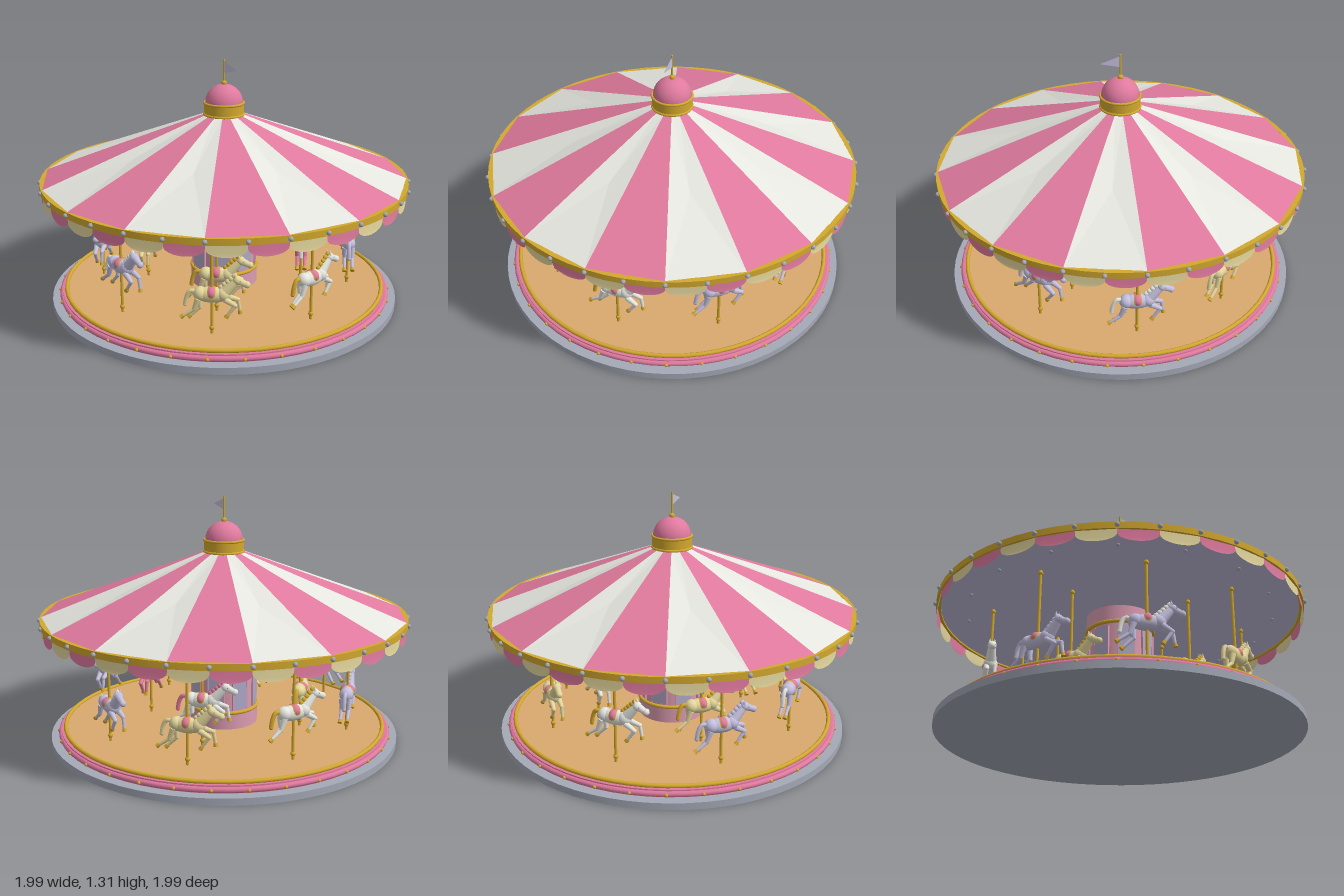
import * as THREE from 'three';
import { toCreasedNormals } from 'three/addons/utils/BufferGeometryUtils.js';

const V = (x, y, z = 0) => new THREE.Vector3(x, y, z);
const TAU = Math.PI * 2;

function material(name, color, side = THREE.FrontSide) {
  const m = new THREE.MeshStandardMaterial({ color, side });
  m.name = name;
  return m;
}

export function createModel() {
  const D = THREE.DoubleSide;
  const pink = material('pink', 0xe07a9e, D);
  const softPink = material('soft pink', 0xdc9cb2);
  const white = material('white', 0xe6e6e0, D);
  const gold = material('gold', 0xd2a82e);
  const lavender = material('lavender', 0xc4c0de, D);
  const panelColor = material('panel lavender', 0xaeaac8);
  const cream = material('cream', 0xe4d69c, D);
  const tan = material('tan wood', 0xdaa86e);
  const grey = material('grey', 0xa4a9b6);

  const root = new THREE.Group();
  root.name = 'carousel';
  const add = (parent, name, geo, mat, x = 0, y = 0, z = 0) => {
    const m = new THREE.Mesh(geo, mat);
    m.name = name;
    m.position.set(x, y, z);
    parent.add(m);
    return m;
  };
  const disc = (name, r, y0, y1, mat, parent = root) =>
    add(parent, name, new THREE.CylinderGeometry(r, r, y1 - y0, 64), mat, 0, (y0 + y1) / 2, 0);
  const ring = (name, r, tube, y, mat) => {
    const m = add(root, name, new THREE.TorusGeometry(r, tube, 10, 64), mat, 0, y, 0);
    m.rotation.x = Math.PI / 2;
  };
  // closed rectangular section turned around the axis
  const hoop = (name, ri, ro, y0, y1, mat) => {
    const pts = [[ri, y0], [ro, y0], [ro, y1], [ri, y1], [ri, y0]].map(p => new THREE.Vector2(...p));
    add(root, name, toCreasedNormals(new THREE.LatheGeometry(pts, 64), 0.6), mat);
  };
  // rounded bar between two points
  const limb = (parent, name, a, b, r, mat, r2 = r) => {
    const d = b.clone().sub(a), len = d.length();
    const m = add(parent, name, new THREE.CylinderGeometry(r2, r, len, 10), mat);
    m.position.copy(a).addScaledVector(d, 0.5);
    m.quaternion.setFromUnitVectors(V(0, 1, 0), d.normalize());
    return m;
  };
  const ball = (parent, name, p, r, mat, sx = 1, sy = 1, sz = 1) => {
    const m = add(parent, name, new THREE.SphereGeometry(r, 16, 10), mat, p.x, p.y, p.z);
    m.scale.set(sx, sy, sz);
    return m;
  };

  // platform
  disc('baseDisc', 0.945, 0, 0.036, grey);
  disc('platformSide', 0.89, 0.036, 0.075, pink);
  ring('platformTrim', 0.89, 0.015, 0.054, pink);
  disc('floor', 0.865, 0.07, 0.08, tan);
  ring('floorRim', 0.867, 0.011, 0.083, gold);

  // central column with upright panels
  disc('columnFoot', 0.182, 0.08, 0.165, softPink);
  disc('columnBody', 0.17, 0.165, 0.67, softPink);
  disc('columnHead', 0.18, 0.585, 0.67, softPink);
  for (const y of [0.17, 0.575]) ring('columnRing', 0.178, 0.01, y, gold);
  for (let i = 0; i < 8; i++) {
    const g = new THREE.Group();
    g.name = 'columnPanel';
    g.rotation.y = i * TAU / 8;
    root.add(g);
    add(g, 'panel', new THREE.BoxGeometry(0.08, 0.365, 0.008), panelColor, 0, 0.37, 0.17);
    for (const s of [-1, 1]) add(g, 'panelFrame', new THREE.BoxGeometry(0.006, 0.375, 0.01), softPink, s * 0.043, 0.37, 0.17);
  }

  // striped canopy: plain pink wedges, slightly sagging white ones
  const roofPoint = (a, r, dy = 0) => V(Math.sin(a) * r, 1.02 - (r - 0.1) * (0.335 / 0.88) + dy, Math.cos(a) * r);
  for (let i = 0; i < 16; i++) {
    const a = i * TAU / 16, b = a + TAU / 16, c = (a + b) / 2;
    const isPink = i % 2 === 0;
    const loop = [roofPoint(a, 0.1), roofPoint(a, 0.98), roofPoint(b, 0.98), roofPoint(b, 0.1)];
    const mid = isPink ? loop.reduce((s, p) => s.addScaledVector(p, 0.25), V(0, 0)) : roofPoint(c, 0.53, -0.016);
    const tris = loop.flatMap((p, k) => [mid, p, loop[(k + 1) % 4]]);
    const geo = new THREE.BufferGeometry().setFromPoints(tris);
    geo.computeVertexNormals();
    add(root, isPink ? 'pinkRoofWedge' : 'whiteRoofWedge', geo, isPink ? pink : white);
  }
  disc('ceiling', 0.965, 0.664, 0.67, lavender);
  hoop('canopyRim', 0.955, 0.98, 0.655, 0.688, gold);

  // scalloped valance, bent round the rim
  for (let i = 0; i < 32; i++) {
    const a0 = i * TAU / 32, w = TAU / 32;
    const shape = new THREE.Shape([new THREE.Vector2(w, 0.675), new THREE.Vector2(0, 0.675)]);
    for (let k = 0; k <= 12; k++) {
      const t = Math.PI * k / 12;
      shape.lineTo(w / 2 - Math.cos(t) * w / 2, 0.635 - Math.sin(t) * 0.04);
    }
    const geo = new THREE.ShapeGeometry(shape);
    const p = geo.attributes.position;
    for (let k = 0; k < p.count; k++) {
      const a = a0 + p.getX(k);
      p.setXYZ(k, Math.sin(a) * 0.972, p.getY(k), Math.cos(a) * 0.972);
    }
    geo.computeVertexNormals();
    add(root, 'scallop', geo, i % 2 ? pink : cream);
    // lamps on the rim, ceiling and platform
    const s = Math.sin(a0), c = Math.cos(a0);
    ball(root, 'rimBulb', V(s * 0.983, 0.672, c * 0.983), 0.012, grey);
    ball(root, 'platformBulb', V(s * 0.903, 0.054, c * 0.903), 0.009, gold);
    if (i % 2) ball(root, 'ceilingBulb', V(s * 0.82, 0.662, c * 0.82), 0.01, grey);
  }

  // crown, dome and pennant
  disc('crownBand', 0.105, 1.01, 1.085, gold);
  for (const y of [1.02, 1.08]) ring('crownTrim', 0.104, 0.007, y, gold);
  const dome = new THREE.SphereGeometry(0.1, 32, 12, 0, TAU, 0, Math.PI / 2);
  add(root, 'dome', dome, pink, 0, 1.08, 0);
  ball(root, 'finial', V(0, 1.185), 0.015, gold);
  limb(root, 'flagpole', V(0, 1.17), V(0, 1.31), 0.005, gold);
  const flag = new THREE.Shape([[0.003, 1.3], [0.003, 1.24], [0.105, 1.262]].map(p => new THREE.Vector2(...p)));
  add(root, 'flag', new THREE.ShapeGeometry(flag), lavender);

  // galloping horse facing +x, origin at the middle of the body
  function horse(coat, hair) {
    const g = new THREE.Group();
    g.name = 'horse';
    ball(g, 'body', V(0, 0), 0.04, coat, 2.15, 1, 0.9);
    ball(g, 'chest', V(0.055, 0.005), 0.036, coat);
    ball(g, 'rump', V(-0.055, 0.003), 0.036, coat);
    limb(g, 'neck', V(0.06, 0.012), V(0.122, 0.08), 0.03, coat, 0.018);
    ball(g, 'poll', V(0.122, 0.08), 0.023, coat);
    limb(g, 'face', V(0.122, 0.08), V(0.168, 0.058), 0.02, coat, 0.014);
    ball(g, 'muzzle', V(0.17, 0.058), 0.017, coat);
    // mane along the back of the neck, tail streaming behind
    for (let i = 0; i < 5; i++) ball(g, 'mane', V(0.045 + i * 0.016, 0.04 + i * 0.015), 0.014, hair, 1, 1, 0.7);
    const tail = new THREE.CatmullRomCurve3([V(-0.08, 0.015), V(-0.105, 0.015), V(-0.122, -0.015), V(-0.13, -0.055)]);
    add(g, 'tail', new THREE.TubeGeometry(tail, 10, 0.011, 8), hair);
    ball(g, 'tailTip', V(-0.13, -0.055), 0.011, hair);
    for (const s of [-1, 1]) {
      const ear = add(g, 'ear', new THREE.ConeGeometry(0.008, 0.03, 8), coat, 0.115, 0.108, s * 0.012);
      ear.rotation.z = 0.15;
      ball(g, 'eye', V(0.138, 0.08, s * 0.015), 0.004, grey);
    }
    // saddle and its cloth
    ball(g, 'saddleCloth', V(0, 0.008), 0.04, gold, 0.95, 0.88, 0.97);
    ball(g, 'saddle', V(0, 0.012), 0.04, pink, 0.75, 0.8, 1.01);
    // thigh, shank and hoof of each leg
    const legs = [
      [V(0.065, -0.015), V(0.115, -0.045), V(0.08, -0.095), 1],
      [V(0.065, -0.015), V(0.125, -0.03), V(0.135, -0.085), -1],
      [V(-0.065, -0.015), V(-0.085, -0.07), V(-0.135, -0.105), 1],
      [V(-0.065, -0.015), V(-0.06, -0.075), V(-0.105, -0.12), -1]];
    for (const [hip, knee, foot, s] of legs) {
      for (const p of [hip, knee, foot]) p.z = s * 0.02;
      limb(g, 'thigh', hip, knee, 0.016, coat, 0.011);
      ball(g, 'knee', knee, 0.011, coat);
      limb(g, 'shank', knee, foot, 0.01, coat, 0.008);
      const tip = foot.clone().add(foot.clone().sub(knee).setLength(0.018));
      limb(g, 'hoof', foot, tip, 0.009, gold, 0.012);
    }
    return g;
  }

  // eight outer and four inner mounts: angle in eighths, radius, body height, coat, hair
  const mounts = [
    [0, 0.68, 0.335, lavender, white], [1, 0.68, 0.285, cream, cream],
    [2, 0.68, 0.305, white, gold], [3, 0.68, 0.325, lavender, lavender],
    [4, 0.68, 0.275, lavender, white], [5, 0.68, 0.285, cream, cream],
    [6, 0.68, 0.325, white, gold], [7, 0.68, 0.29, lavender, lavender],
    [1, 0.425, 0.28, cream, gold], [3, 0.425, 0.325, pink, white],
    [5, 0.425, 0.325, white, pink], [7, 0.425, 0.285, cream, gold]];
  for (const [k, r, y, coat, hair] of mounts) {
    const mount = new THREE.Group();
    mount.name = 'mount';
    mount.rotation.y = k * TAU / 8;
    root.add(mount);
    limb(mount, 'pole', V(0, 0.075, r), V(0, 0.666, r), 0.0075, gold);
    ball(mount, 'poleFoot', V(0, 0.11, r), 0.013, gold);
    ball(mount, 'poleTop', V(0, 0.65, r), 0.013, gold);
    const h = horse(coat, hair);
    h.position.set(0, y, r);
    mount.add(h);
  }
  return root;
}
